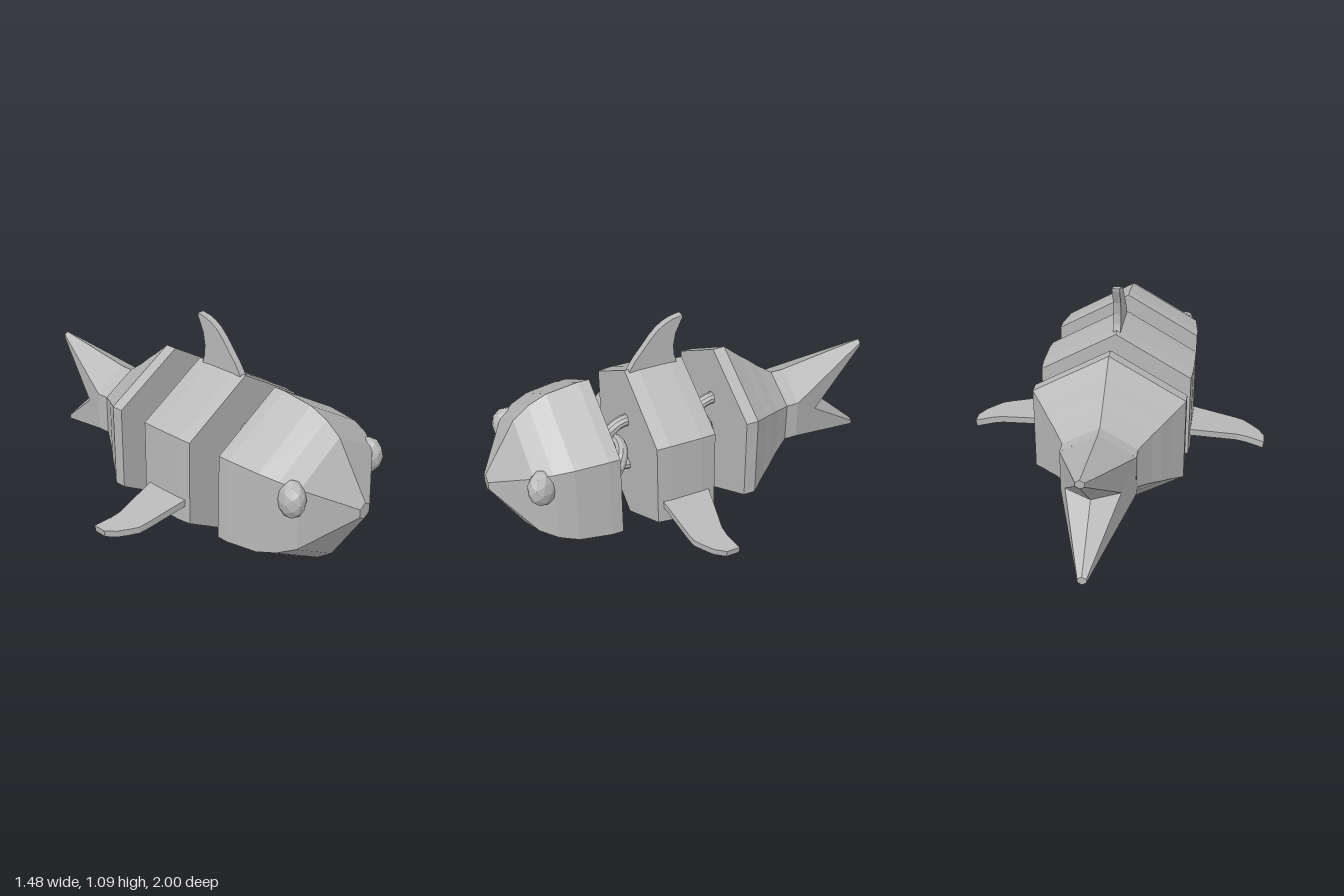
import * as THREE from 'three';

export function createModel() {
  const model = new THREE.Group();
  const grey = new THREE.MeshStandardMaterial({ color: 0xb8b8b8, flatShading: true });
  grey.name = 'plain grey';
  const smoothGrey = grey;
  const add = (name, geometry, x = 0, y = 0, z = 0, parent = model) => {
    const mesh = new THREE.Mesh(geometry, smoothGrey);
    mesh.name = name;
    mesh.position.set(x, y, z);
    parent.add(mesh);
    return mesh;
  };

  // Six-sided body pieces, each profile a list of [radius, z]
  const hexBody = (name, profile, y) => {
    const points = profile.map(([r, z]) => new THREE.Vector2(r, z));
    return add(name, new THREE.LatheGeometry(points, 6).rotateX(Math.PI / 2), 0, y, 0);
  };
  hexBody('head', [[0, 0.472], [0.418, 0.472], [0.418, 0.527], [0.396, 0.68],
    [0.358, 0.767], [0.3, 0.842], [0.04, 1], [0, 1]], 0.439);
  hexBody('middleSegment', [[0, 0.006], [0.423, 0.006], [0.43, 0.078],
    [0.43, 0.233], [0.423, 0.297], [0, 0.297]], 0.435);
  hexBody('rearSegment', [[0.2, -0.553], [0.2, -0.489], [0.263, -0.404], [0.31, -0.35],
    [0.347, -0.302], [0.418, -0.219], [0.418, -0.16], [0, -0.16]], 0.439);

  // Forked tail: one quarter, mirrored across both axes
  const T = [0, 0.2, -0.553], B = [0.173, 0.1, -0.553], M = [0.173, 0, -0.553];
  const F = [0.125, 0, -0.687], V = [0, 0, -0.757];
  const t = [0, 0.267, -1], b = [0.02, 0.255, -1], C = [0.02, 0.236, -1], K = [0, 0.226, -1];
  const faces = [[T, B, b, t], [F, C, b, B, M], [F, V, K, C], [b, C, K, t]];
  const tail = [];
  for (const sx of [1, -1]) for (const sy of [1, -1]) {
    for (const face of faces) {
      for (let i = 1; i < face.length - 1; i++) {
        const tri = [face[0], face[i], face[i + 1]];
        if (sx * sy < 0) tri.reverse();
        tri.forEach(([x, y, z]) => tail.push(x * sx, y * sy, z));
      }
    }
  }
  const tailGeometry = new THREE.BufferGeometry();
  tailGeometry.setAttribute('position', new THREE.Float32BufferAttribute(tail, 3));
  tailGeometry.computeVertexNormals();
  add('tailFin', tailGeometry, 0, 0.439, 0);

  // Flat fins
  const plate = (outline, thickness) => {
    const shape = new THREE.Shape(outline.map(([u, v]) => new THREE.Vector2(u, v)));
    return new THREE.ExtrudeGeometry(shape, { depth: thickness, bevelEnabled: false })
      .translate(0, 0, -thickness / 2);
  };
  add('dorsalFin', plate([[0.28, 0.83], [0.28, 0.857], [0.245, 0.91], [0.206, 0.957],
    [0.168, 1.005], [0.131, 1.043], [0.095, 1.067], [0.06, 1.082], [0.01, 1.092], [0.01, 1.08],
    [0.045, 1.005], [0.056, 0.941], [0.052, 0.89], [0.035, 0.83]], 0.036).rotateY(-Math.PI / 2));

  const sideFin = [[-0.06, 0.035], [0, 0.037], [0.243, 0.085], [0.29, 0.083], [0.377, 0.063],
    [0.377, 0.127], [0.346, 0.175], [0.304, 0.21], [0.265, 0.238], [0.22, 0.246],
    [0, 0.27], [-0.06, 0.276]];
  for (const s of [1, -1]) {
    const side = s > 0 ? 'left' : 'right';
    const fin = plate(sideFin.map(([x, z]) => [s * x, -z]), 0.034).rotateX(-Math.PI / 2);
    add(side + 'Fin', fin, s * 0.365, 0.325, 0).rotation.z = -s * 0.154;

    // Faceted eyes
    const eye = add(side + 'Eye', new THREE.IcosahedronGeometry(1, 1), s * 0.269, 0.537, 0.808);
    eye.scale.set(0.06, 0.09, 0.076);
    eye.rotation.y = s * 0.4;
  }

  // Chain links: an upright ring looped through a slanted one at each joint
  const joints = [['front', 0], ['rear', -0.457]];
  for (const [joint, dz] of joints) {
    const ring = () => new THREE.TorusGeometry(0.13, 0.03, 10, 28);
    add(joint + 'UprightLink', ring(), 0, 0.452, 0.29 + dz).rotation.y = Math.PI / 2;
    add(joint + 'SlantedLink', ring(), 0, 0.363, 0.432 + dz).rotation.x = -Math.PI / 4;
  }

  return model;
}
